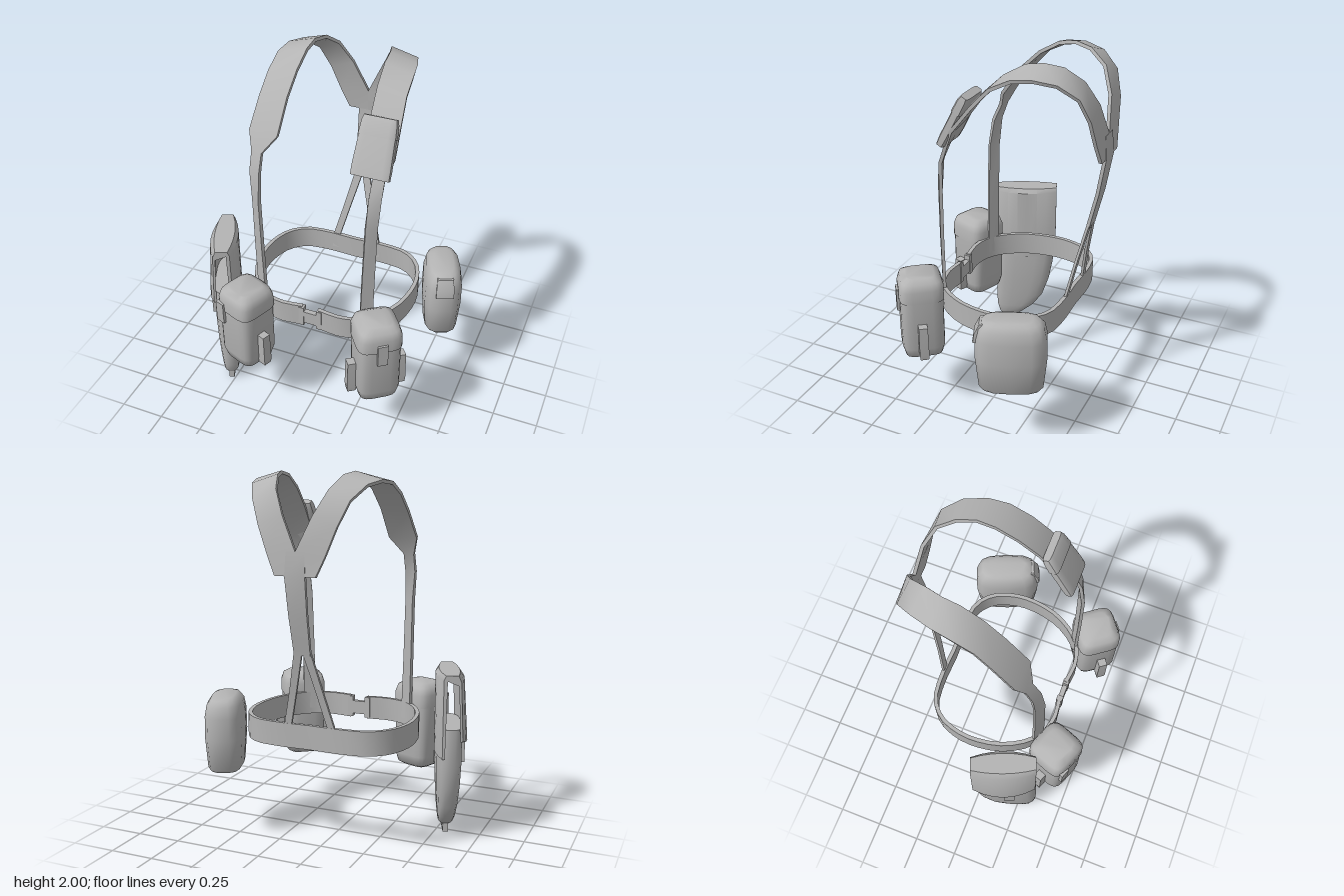
import * as THREE from 'three';
import { toCreasedNormals } from 'three/addons/utils/BufferGeometryUtils.js';

const grey = new THREE.MeshStandardMaterial({ color: 0xb4b4b4 });
grey.name = 'grey webbing';

function add(parent, name, geometry, x = 0, y = 0, z = 0) {
  const mesh = new THREE.Mesh(geometry, grey);
  mesh.name = name;
  mesh.position.set(x, y, z);
  parent.add(mesh);
  return mesh;
}

// Closed skin over rings of points that turn anticlockwise about the sweep direction
function skin(rings, crease = 0.8) {
  const n = rings[0].length, last = (rings.length - 1) * n, index = [];
  for (let i = 0; i < rings.length - 1; i++) {
    for (let j = 0; j < n; j++) {
      const a = i * n + j, b = i * n + (j + 1) % n;
      index.push(a, b, b + n, a, b + n, a + n);
    }
  }
  for (let j = 1; j < n - 1; j++) index.push(0, j + 1, j, last, last + j, last + j + 1);
  const geo = new THREE.BufferGeometry().setFromPoints(rings.flat());
  geo.setIndex(index);
  return toCreasedNormals(geo, crease);
}

// Flat band between two edges; each station is [edge A xyz, edge B xyz]
function band(stations, thickness, side = 1) {
  const pts = stations.map(s => [
    new THREE.Vector3(s[0] * side, s[1], s[2]),
    new THREE.Vector3(s[3] * side, s[4], s[5])]);
  const mids = pts.map(([a, b]) => a.clone().add(b).multiplyScalar(0.5));
  return skin(pts.map(([a, b], i) => {
    const t = mids[Math.min(i + 1, mids.length - 1)].clone().sub(mids[Math.max(i - 1, 0)]);
    const n = t.cross(b.clone().sub(a)).normalize().multiplyScalar(thickness / 2);
    return [a.clone().sub(n), b.clone().sub(n), b.clone().add(n), a.clone().add(n)];
  }));
}

// Upright body with rounded-square sections [y, halfX, halfZ, centreX, centreZ]
function loft(sections, sides, power, crease) {
  const bend = v => Math.sign(v) * Math.abs(v) ** power;
  return skin(sections.map(([y, hx, hz, cx = 0, cz = 0]) =>
    Array.from({ length: sides }, (_, j) => {
      const a = (j + 0.5) / sides * Math.PI * 2;
      return new THREE.Vector3(cx + hx * bend(Math.sin(a)), y, cz + hz * bend(Math.cos(a)));
    })), crease);
}

function part(root, name, x, z, turn) {
  const g = new THREE.Group();
  g.name = name;
  g.position.set(x, 0, z);
  g.rotation.y = turn;
  root.add(g);
  return g;
}

function buildBelt(root) {
  const half = [[0.05, 0.3], [0.17, 0.312], [0.27, 0.285], [0.35, 0.22], [0.42, 0.1], [0.45, -0.04],
    [0.445, -0.16], [0.4, -0.28], [0.31, -0.355], [0.16, -0.375]];
  const path = [...half, [0, -0.37], ...half.map(([x, z]) => [-x, z]).reverse()];
  const curve = new THREE.CatmullRomCurve3(path.map(([x, z]) => new THREE.Vector3(x, 0, z)));
  const belt = curve.getPoints(44).map(p => [p.x, 0.585, p.z, p.x, 0.715, p.z]);
  add(root, 'belt', band(belt, 0.022));
  add(root, 'buckleCentre', new THREE.BoxGeometry(0.09, 0.075, 0.028), 0, 0.645, 0.302);
  for (const s of [-1, 1]) {
    add(root, 'buckleEnd', new THREE.BoxGeometry(0.03, 0.12, 0.034), s * 0.052, 0.65, 0.302);
  }
}

function buildHarness(root) {
  const strap = [
    [0.27, 0.62, 0.28, 0.33, 0.62, 0.245],
    [0.28, 1.0, 0.28, 0.335, 1.0, 0.245],
    [0.288, 1.3, 0.275, 0.34, 1.3, 0.24],
    [0.292, 1.46, 0.25, 0.353, 1.46, 0.23],
    [0.295, 1.56, 0.205, 0.355, 1.56, 0.195],
    [0.225, 1.65, 0.162, 0.385, 1.65, 0.15],
    [0.22, 1.81, 0.045, 0.375, 1.79, 0.04],
    [0.212, 1.91, -0.06, 0.365, 1.885, -0.05],
    [0.205, 1.975, -0.17, 0.36, 1.94, -0.16],
    [0.2, 1.99, -0.26, 0.345, 1.95, -0.26],
    [0.175, 1.975, -0.35, 0.31, 1.93, -0.37],
    [0.14, 1.91, -0.44, 0.26, 1.86, -0.46],
    [0.08, 1.79, -0.495, 0.21, 1.74, -0.5],
    [0, 1.62, -0.52, 0.155, 1.6, -0.515],
    [0, 1.5, -0.528, 0.11, 1.5, -0.528]];
  const lower = [
    [0, 1.12, -0.455, 0.045, 1.12, -0.455],
    [0.055, 0.9, -0.41, 0.095, 0.9, -0.41],
    [0.1, 0.72, -0.378, 0.14, 0.72, -0.378],
    [0.108, 0.62, -0.37, 0.148, 0.62, -0.37]];
  for (const s of [-1, 1]) {
    add(root, 'shoulderStrap', band(strap, 0.018, s));
    add(root, 'lowerBackStrap', band(lower, 0.014, s));
  }
  const spine = [[1.62, -0.52, 0.05], [1.5, -0.53, 0.055], [1.3, -0.498, 0.05], [1.18, -0.47, 0.047], [1.1, -0.452, 0.045]];
  add(root, 'spineStrap', band(spine.map(([y, z, h]) => [-h, y, z, h, y, z]), 0.018));

  // Small pocket carried on the left shoulder
  const pocket = part(root, 'shoulderPocket', 0.285, 0.148, 0);
  pocket.position.y = 1.7;
  pocket.rotation.x = -0.48;
  add(pocket, 'pocketBody', loft([[-0.15, 0.1, 0.022], [-0.1, 0.1, 0.026], [0.08, 0.092, 0.026], [0.14, 0.085, 0.02]], 12, 0.35));
  add(pocket, 'pocketLid', loft([[0.05, 0.096, 0.031], [0.12, 0.09, 0.03], [0.145, 0.084, 0.022]], 12, 0.35));
}

function buildPouch(root, name, x, z, turn, clipX) {
  const g = part(root, name, x, z, turn);
  add(g, 'pouchBody', loft([[0.33, 0.08, 0.08], [0.345, 0.103, 0.103], [0.4, 0.117, 0.117], [0.7, 0.117, 0.117]], 20, 0.45, 1));
  add(g, 'pouchLid', loft([[0.69, 0.122, 0.122], [0.76, 0.121, 0.121], [0.8, 0.108, 0.108], [0.82, 0.075, 0.075]], 20, 0.45, 1));
  add(g, 'pouchClip', new THREE.BoxGeometry(0.055, 0.13, 0.02), clipX, 0.675, 0.122);
  for (const s of [-1, 1]) {
    add(g, 'sidePocket', loft([[0.36, 0.03, 0.03], [0.39, 0.034, 0.034], [0.56, 0.03, 0.032]], 4, 0.8), s * 0.137, 0, 0.01);
  }
}

function buildBag(root) {
  const g = part(root, 'rearBag', 0.565, -0.26, 0.38);
  add(g, 'bagBody', loft([[0.395, 0.085, 0.155], [0.41, 0.095, 0.168], [0.58, 0.108, 0.185],
    [0.7, 0.106, 0.183], [0.76, 0.095, 0.17], [0.79, 0.075, 0.145], [0.8, 0.055, 0.11]], 14, 0.65, 0.9));
  add(g, 'bagFlap', loft([[0.68, 0.05, 0.012, 0, 0.182], [0.73, 0.05, 0.012, 0, 0.175], [0.785, 0.045, 0.012, 0, 0.148]], 8, 0.4));
}

function buildHolster(root) {
  const g = part(root, 'holster', -0.58, 0.165, 0.38);
  add(g, 'holsterBody', loft([[0.045, 0.03, 0.05, 0, 0.11], [0.065, 0.042, 0.072, 0, 0.1], [0.12, 0.05, 0.115, 0, 0.072],
    [0.2, 0.058, 0.145, 0, 0.045], [0.32, 0.066, 0.165, 0, 0.025], [0.45, 0.07, 0.175, 0, 0.012],
    [0.66, 0.066, 0.172, 0, 0]], 16, 0.65, 1));

  // Folded cover, narrowing towards both ends
  const fold = new THREE.Shape([[0.078, 0.5], [0.078, 0.93], [0.06, 0.955], [-0.05, 0.955], [-0.075, 0.92], [-0.1, 0.57],
    [-0.078, 0.565], [-0.055, 0.9], [0.045, 0.925], [0.055, 0.5]].map(p => new THREE.Vector2(...p)));
  const geo = new THREE.ExtrudeGeometry(fold, { depth: 0.35, steps: 6, bevelEnabled: false });
  geo.translate(0, 0, -0.175);
  const p = geo.attributes.position;
  for (let i = 0; i < p.count; i++) {
    const k = (p.getZ(i) / 0.175) ** 2;
    p.setX(i, p.getX(i) * (1 - 0.4 * k));
    if (p.getX(i) < 0 && p.getY(i) < 0.6) p.setY(i, p.getY(i) + 0.03 * k);
  }
  geo.deleteAttribute('normal');
  add(g, 'holsterCover', toCreasedNormals(geo, 0.6));

  // Fastening tab on the outer face
  add(g, 'holsterClip', new THREE.BoxGeometry(0.02, 0.14, 0.06), -0.08, 0.5, 0.03);

  // Wire loop under the tip
  const loop = part(g, 'tipLoop', 0, 0.105, 0);
  for (const s of [-1, 1]) {
    add(loop, 'loopSide', new THREE.BoxGeometry(0.03, 0.055, 0.008), 0, 0.0275, s * 0.05);
  }
  add(loop, 'loopBottom', new THREE.BoxGeometry(0.03, 0.008, 0.108), 0, 0.004, 0);
}

export function createModel() {
  const root = new THREE.Group();
  root.name = 'loadHarness';
  buildBelt(root);
  buildHarness(root);
  buildPouch(root, 'rightPouch', -0.345, 0.385, -0.37, -0.07);
  buildPouch(root, 'leftPouch', 0.395, 0.36, 0.64, 0);
  buildBag(root);
  buildHolster(root);
  return root;
}
